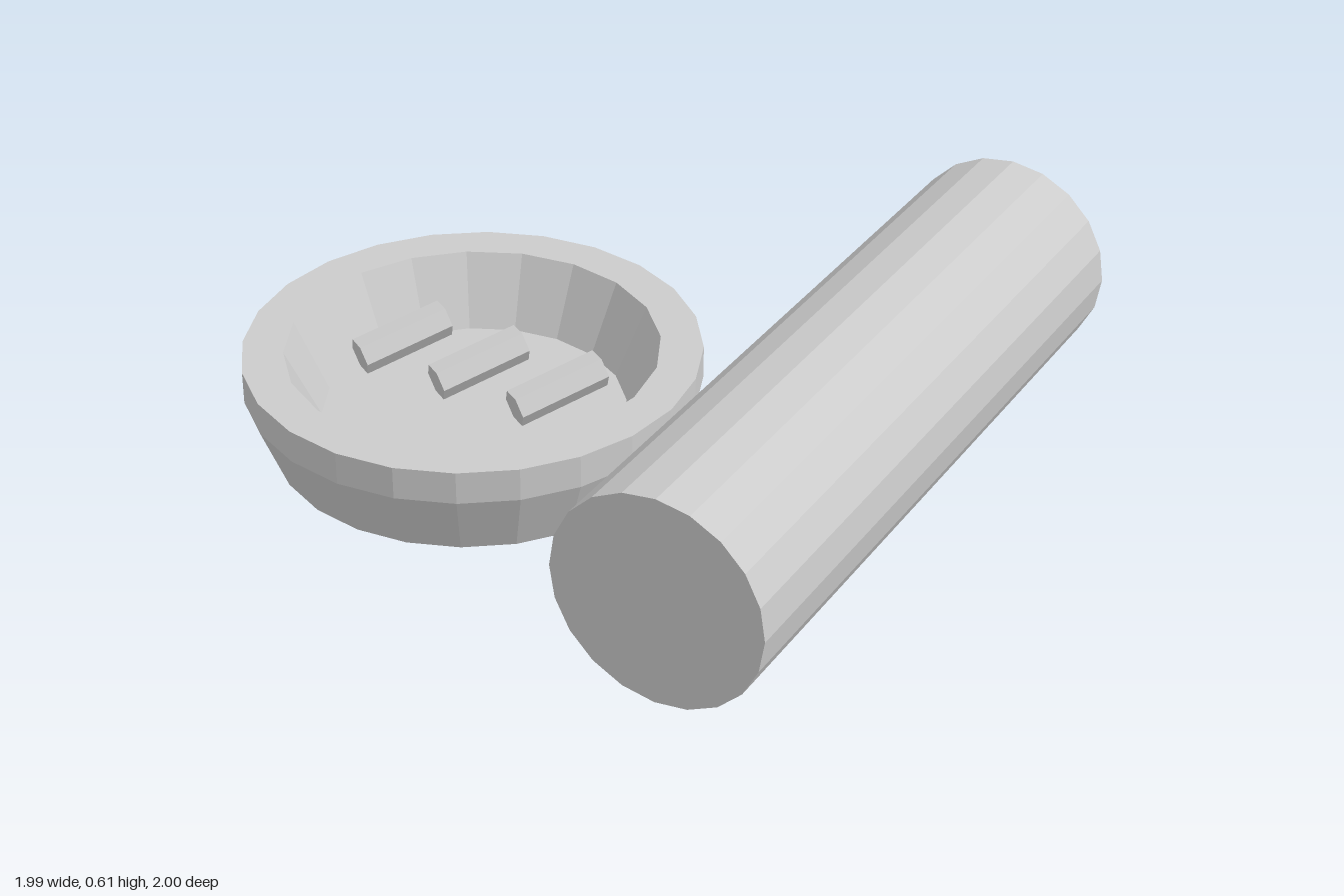
import * as THREE from 'three';

const material = new THREE.MeshStandardMaterial({ color: 0xcccccc, flatShading: true });

function addMesh(parent, name, geometry) {
  const mesh = new THREE.Mesh(geometry, material);
  mesh.name = name;
  parent.add(mesh);
  return mesh;
}

const lathe = (points, sides) =>
  new THREE.LatheGeometry(points.map(([r, y]) => new THREE.Vector2(r, y)), sides);

// Regular polygon with a corner on the x axis
function polygon(radius, sides) {
  return Array.from({ length: sides }, (_, i) => {
    const a = (i / sides) * Math.PI * 2;
    return new THREE.Vector2(Math.cos(a) * radius, Math.sin(a) * radius);
  });
}

export function createModel() {
  const model = new THREE.Group();
  model.name = 'bowlAndLog';

  // Shallow bowl: outside wall, flat rim, recessed inside
  const bowl = new THREE.Group();
  bowl.name = 'bowl';
  bowl.position.set(-0.355, 0, 0.235);
  model.add(bowl);
  addMesh(bowl, 'bowlOuterWall', lathe([[0, 0.02], [0.567, 0.02], [0.64, 0.21], [0.64, 0.305]], 24));
  addMesh(bowl, 'bowlInnerWall', lathe([[0.523, 0.305], [0.428, 0.1], [0, 0.1]], 20));
  const rim = new THREE.Shape(polygon(0.64, 24));
  rim.holes.push(new THREE.Path(polygon(0.523, 20)));
  addMesh(bowl, 'bowlRim', new THREE.ShapeGeometry(rim).rotateX(-Math.PI / 2).translate(0, 0.305, 0));

  // Three slanted six-sided sticks inside the bowl
  for (let i = -1; i <= 1; i++) {
    const stick = addMesh(bowl, 'stick',
      new THREE.CylinderGeometry(0.053, 0.053, 0.27, 6, 1, false, Math.PI / 6).rotateX(Math.PI / 2));
    stick.rotation.set(0.2, -0.53, 0, 'YXZ');
    stick.position.set(i * 0.26, 0.233, -0.027);
  }

  // Long log lying beside the bowl
  const log = addMesh(model, 'log', new THREE.CylinderGeometry(0.303, 0.303, 2, 20).rotateX(Math.PI / 2));
  log.position.set(0.69, 0.305, 0);

  return model;
}
